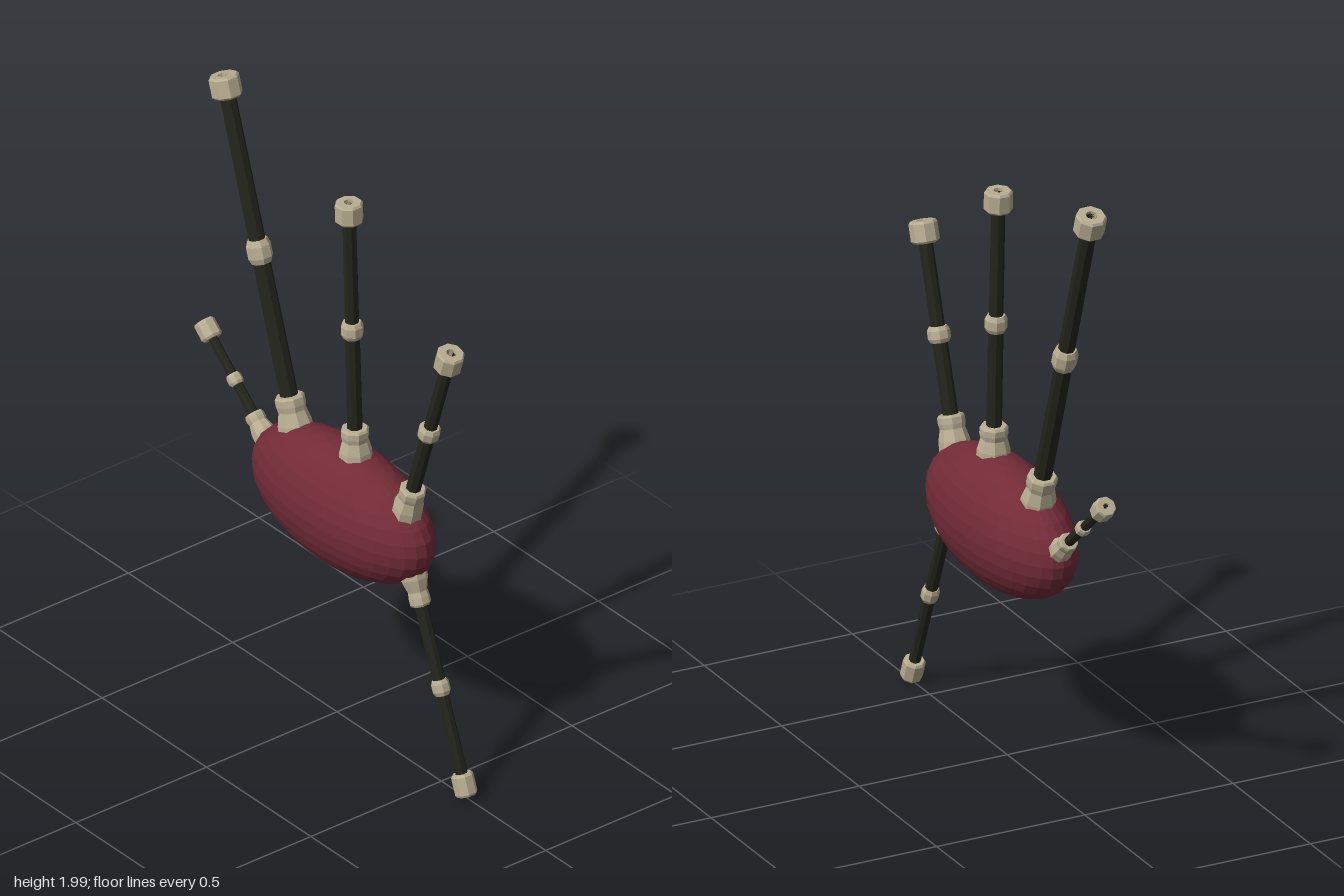
import * as THREE from 'three';

const wine = new THREE.MeshStandardMaterial({ color: 0x722b37, flatShading: true });
wine.name = 'wine cloth';
const ebony = new THREE.MeshStandardMaterial({ color: 0x23251b, flatShading: true });
ebony.name = 'dark wood';
const ivory = new THREE.MeshStandardMaterial({ color: 0xb9ae92, flatShading: true });
ivory.name = 'ivory';

// Hollow eight-sided turned part: [radius, height] points going up, closed by a bore
function turned(name, outer, bore, material) {
  const first = outer[0], last = outer[outer.length - 1];
  const points = [[bore, first[1]], ...outer, [bore, last[1]], [bore, first[1]]]
    .map(([r, y]) => new THREE.Vector2(r, y));
  const mesh = new THREE.Mesh(new THREE.LatheGeometry(points, 8, Math.PI / 8), material);
  mesh.name = name;
  return mesh;
}

// Pipe from inside the bag to its tip: flared stock, wooden tube, joint ring, end cap
function pipe(p) {
  const group = new THREE.Group();
  group.name = p.name;
  const start = new THREE.Vector2(...p.start), tip = new THREE.Vector2(...p.tip);
  const axis = tip.clone().sub(start), length = axis.length();
  const joint = new THREE.Vector2(...p.joint).distanceTo(start);
  const bore = p.tube * 0.7, h = p.ringLength / 2, c = 0.007;

  group.add(turned('stock', [
    [p.flare, 0], [p.flare * 0.96, p.stock * 0.35], [p.neck * 0.92, p.stock * 0.65],
    [p.neck, p.stock * 0.78], [p.neck, p.stock - c], [p.neck * 0.88, p.stock],
  ], bore, ivory));
  group.add(turned('lowerTube', [[p.tube * 1.1, 0.01], [p.tube * 1.05, joint]], bore, ebony));
  group.add(turned('upperTube', [[p.tube, joint], [p.tube * 0.97, length - 0.01]], bore, ebony));
  group.add(turned('jointRing', [
    [p.ring * 0.8, joint - h], [p.ring, joint - h * 0.5],
    [p.ring, joint + h * 0.5], [p.ring * 0.8, joint + h],
  ], bore, ivory));
  group.add(turned('endCap', [
    [p.cap * 0.85, length - p.capLength], [p.cap, length - p.capLength + c],
    [p.cap, length - c], [p.cap * 0.88, length],
  ], bore, ivory));

  group.position.set(start.x, start.y, 0);
  group.rotation.z = Math.atan2(axis.y, axis.x) - Math.PI / 2;
  return group;
}

const PIPES = [
  { name: 'longDrone', start: [-0.188, 0.88], joint: [-0.372, 1.45], tip: [-0.545, 1.986],
    stock: 0.137, flare: 0.056, neck: 0.047, tube: 0.026, ring: 0.039, ringLength: 0.075, cap: 0.048, capLength: 0.07 },
  { name: 'middleDrone', start: [0.09, 0.93], joint: [0.071, 1.389], tip: [0.056, 1.83],
    stock: 0.12, flare: 0.053, neck: 0.044, tube: 0.022, ring: 0.035, ringLength: 0.055, cap: 0.044, capLength: 0.068 },
  { name: 'shortDrone', start: [0.33, 0.86], joint: [0.441, 1.207], tip: [0.547, 1.538],
    stock: 0.12, flare: 0.05, neck: 0.042, tube: 0.022, ring: 0.035, ringLength: 0.05, cap: 0.044, capLength: 0.068 },
  { name: 'chanter', start: [0.355, 0.7], joint: [0.497, 0.335], tip: [0.622, 0.014],
    stock: 0.131, flare: 0.044, neck: 0.033, tube: 0.019, ring: 0.028, ringLength: 0.05, cap: 0.035, capLength: 0.07 },
  { name: 'blowpipe', start: [-0.335, 0.803], joint: [-0.489, 0.938], tip: [-0.64, 1.07],
    stock: 0.088, flare: 0.038, neck: 0.031, tube: 0.015, ring: 0.024, ringLength: 0.036, cap: 0.034, capLength: 0.06 },
];

export function createModel() {
  const model = new THREE.Group();
  model.name = 'bagpipe';

  // Stuffed bag
  const bag = new THREE.Mesh(new THREE.SphereGeometry(1, 32, 16), wine);
  bag.name = 'bag';
  bag.scale.set(0.398, 0.206, 0.156);
  bag.position.set(0.033, 0.76, 0);
  model.add(bag);

  for (const spec of PIPES) model.add(pipe(spec));
  return model;
}
